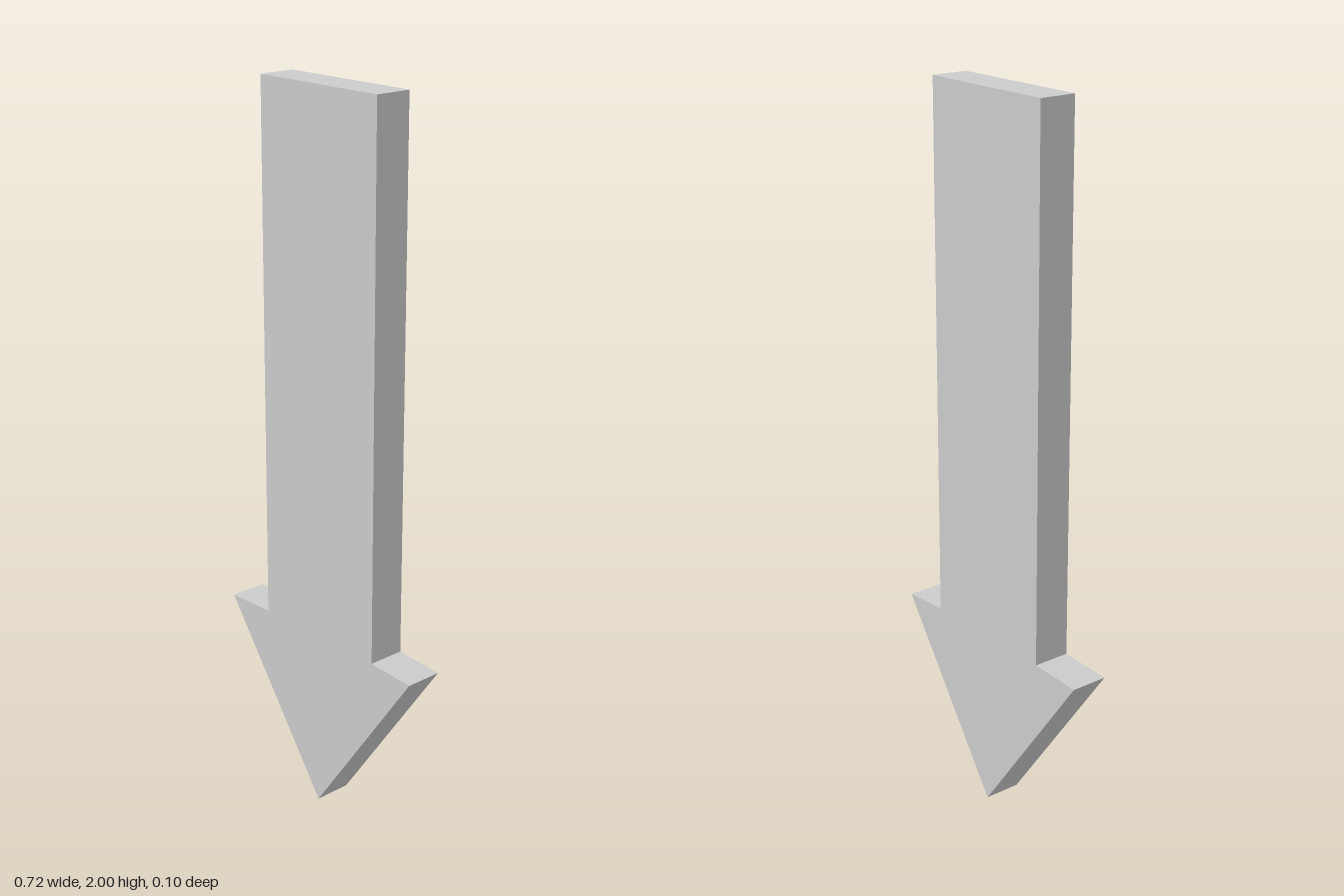
import * as THREE from 'three';

export function createModel() {
  const group = new THREE.Group();
  const depth = 0.105;

  // Downward arrow outline, counter-clockwise from the tip
  const outline = new THREE.Shape([
    [0.005, 0], [0.36, 0.506], [0.218, 0.514], [0.218, 2],
    [-0.206, 2], [-0.206, 0.514], [-0.36, 0.508],
  ].map(([x, y]) => new THREE.Vector2(x, y)));

  // Flat slab with sharp edges
  const geometry = new THREE.ExtrudeGeometry(outline, { depth, bevelEnabled: false });
  geometry.translate(0, 0, -depth / 2);

  const arrow = new THREE.Mesh(geometry, new THREE.MeshStandardMaterial({ color: 0xcccccc }));
  arrow.name = 'downArrow';
  group.add(arrow);
  return group;
}
